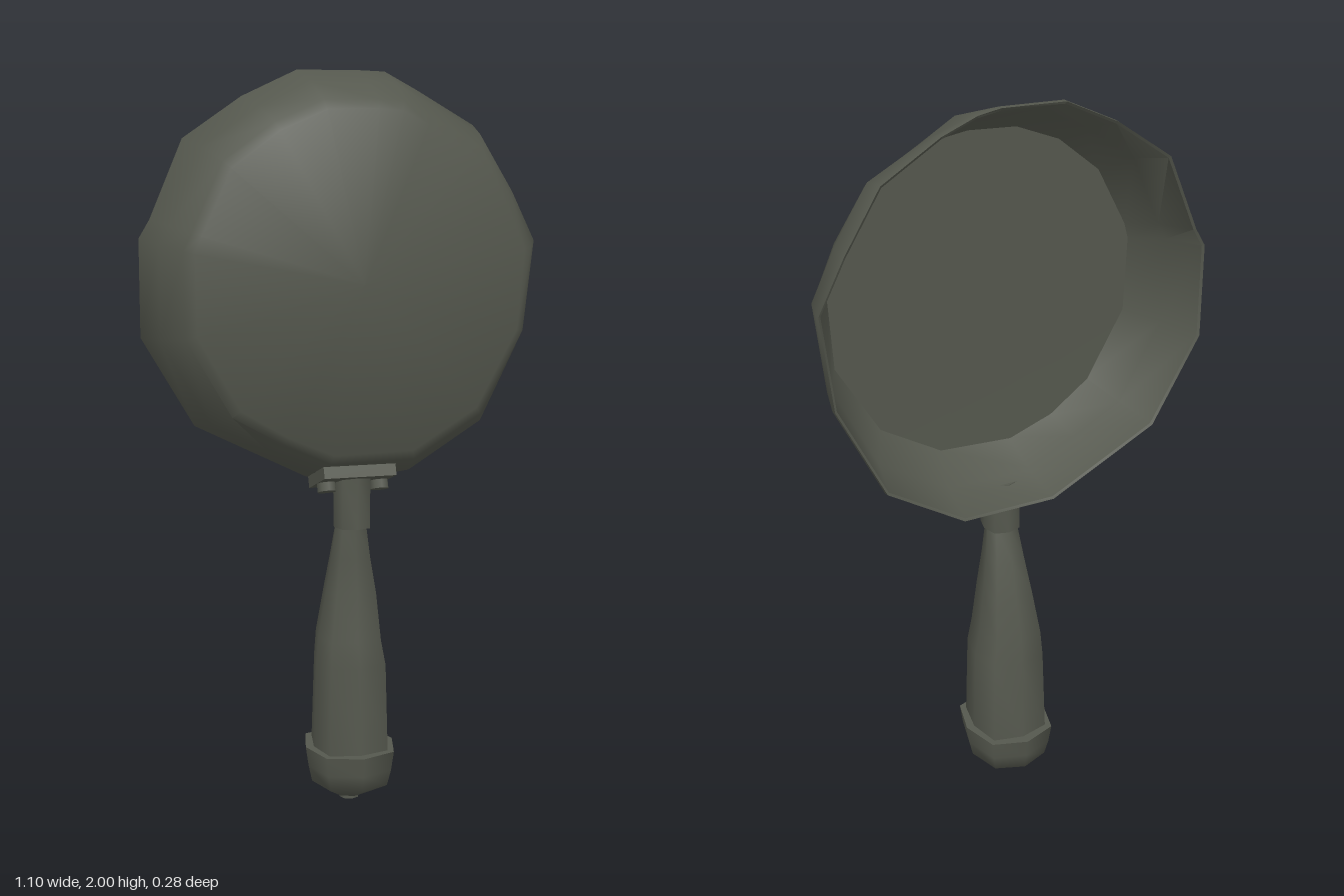
import * as THREE from 'three';
import { toCreasedNormals } from 'three/addons/utils/BufferGeometryUtils.js';

const iron = new THREE.MeshStandardMaterial({ color: 0x55584e });
iron.name = 'dark iron';

// Skins a list of closed rings (each the same number of [x, y, z] points);
// the first and last rings are collapsed to a point
function loft(rings, crease) {
  const n = rings[0].length;
  const index = [];
  for (let i = 0; i < rings.length - 1; i++) {
    for (let j = 0; j < n; j++) {
      const k = (j + 1) % n;
      const a = i * n + j, b = i * n + k, c = b + n, d = a + n;
      if (i < rings.length - 2) index.push(a, d, c);
      if (i > 0) index.push(a, c, b);
    }
  }
  const geo = new THREE.BufferGeometry();
  geo.setAttribute('position', new THREE.Float32BufferAttribute(rings.flat(2), 3));
  geo.setIndex(index);
  return toCreasedNormals(geo, crease);
}

function add(parent, name, geo) {
  const mesh = new THREE.Mesh(geo, iron);
  mesh.name = name;
  parent.add(mesh);
  return mesh;
}

// Upright eight-sided part: rows of [y, x radius, z radius, x centre, z centre, squareness]
function turned(rows, crease) {
  return loft(rows.map(([y, rx, rz, cx = 0, cz = 0, square = 0]) =>
    Array.from({ length: 8 }, (_, j) => {
      const t = (j / 8) * Math.PI * 2;
      const f = 1 + square * Math.sin(2 * t) ** 2;
      return [cx + rx * f * Math.cos(t), y, cz + rz * f * Math.sin(t)];
    })), crease);
}

function panGeometry() {
  const cy = 1.455;
  // Hand-beaten rim outline: x, y, and how far the lip is bent in z
  const rim = [
    [0.55, 1.56, 0.005], [0.48, 1.7, 0], [0.38, 1.86, 0], [0.21, 1.95, 0.02],
    [0.13, 2.0, -0.016], [0.05, 2.0, 0.018], [-0.12, 2.0, 0], [-0.27, 1.93, 0],
    [-0.43, 1.82, 0], [-0.52, 1.61, 0], [-0.55, 1.56, 0], [-0.55, 1.3, 0],
    [-0.41, 1.06, 0], [-0.25, 0.98, 0], [-0.1, 0.905, 0], [0.17, 0.905, 0],
    [0.39, 1.04, 0], [0.52, 1.3, 0.005],
  ];
  // scale, z, share of lip bend, blend to a true circle
  const profile = [
    [0, 0.142, 0, 0], [0.82, 0.137, 0, 0.4], [0.865, 0.12, 0, 0.3],
    [0.945, 0.03, 0, 0], [1, -0.08, 1, 0], [0.997, -0.094, 1, 0],
    [0.985, -0.09, 1, 0], [0.922, 0.03, 0, 0.1], [0.82, 0.124, 0, 0.9], [0, 0.128, 0, 1],
  ];
  return loft(profile.map(([s, z, bend, round]) => rim.map(([x, y, dz]) => {
    const r = Math.hypot(x, y - cy);
    const f = s * (1 + round * (0.55 / r - 1));
    const drop = 0.05 * (z + 0.09); // the base sits slightly lower than the rim
    return [x * f, cy - drop + (y - cy) * f, z + dz * bend];
  })), 0.72);
}

export function createModel() {
  const model = new THREE.Group();
  model.name = 'fryingPan';

  add(model, 'pan', panGeometry());

  // Handle: bulging, slightly squared grip, leaning forward at the neck
  const handle = new THREE.Group();
  handle.name = 'handle';
  model.add(handle);
  add(handle, 'grip', turned([
    [0.14, 0, 0], [0.14, 0.103, 0.113, 0, 0, 0.15], [0.4, 0.095, 0.106, 0, 0.003, 0.15],
    [0.47, 0.085, 0.097, -0.005, 0.006, 0.16], [0.6, 0.067, 0.075, 0, 0.006, 0.18],
    [0.7, 0.053, 0.058, -0.004, 0.022, 0.14], [0.8, 0.042, 0.042, -0.006, 0.036, 0.08],
    [0.8, 0, 0, -0.006, 0.036],
  ], 1.25));

  // Rounded end cap with a small bolt
  add(handle, 'endCap', turned([
    [0.014, 0, 0], [0.016, 0.05, 0.05], [0.055, 0.108, 0.125, 0, 0, 0.06],
    [0.1, 0.118, 0.133, 0, 0, 0.08], [0.155, 0.126, 0.141, 0, 0, 0.08], [0.155, 0, 0],
  ], 1.1));
  add(handle, 'endBolt', new THREE.CylinderGeometry(0.028, 0.028, 0.03, 8)).position.set(0, 0.015, 0);

  // Neck sleeve joining the grip to the pan
  add(handle, 'neckSleeve', turned([
    [0.785, 0, 0, -0.006, 0.043], [0.785, 0.05, 0.056, -0.006, 0.043, 0.1],
    [0.935, 0.05, 0.056, -0.006, 0.043, 0.1], [0.935, 0, 0, -0.006, 0.043],
  ], 1.2));

  // Bracket plate lying against the pan wall, with two bolts
  const bracket = new THREE.Group();
  bracket.name = 'bracket';
  bracket.position.set(-0.005, 0.923, 0.042);
  bracket.rotation.x = -0.33;
  model.add(bracket);
  add(bracket, 'bracketPlate', new THREE.BoxGeometry(0.2, 0.032, 0.16));
  for (const side of [-1, 1]) {
    add(bracket, side > 0 ? 'leftBolt' : 'rightBolt', new THREE.CylinderGeometry(0.026, 0.026, 0.03, 8))
      .position.set(side * 0.074, -0.025, 0);
  }
  return model;
}
